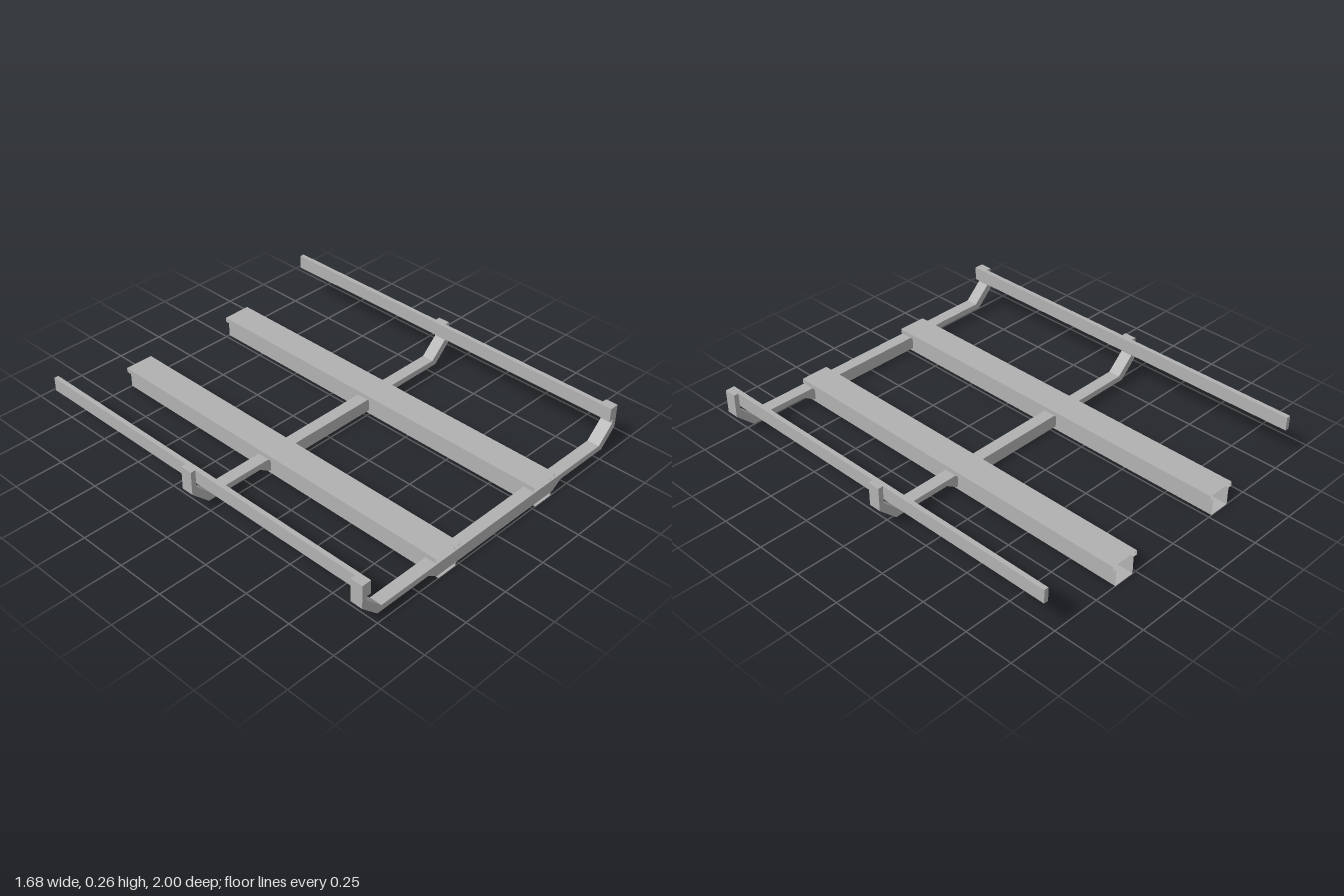
import * as THREE from 'three';

const steel = new THREE.MeshStandardMaterial({ color: 0xb2b2b2 });
steel.name = 'steelGrey';
const sheet = new THREE.MeshStandardMaterial({ color: 0xb2b2b2, side: THREE.DoubleSide });
sheet.name = 'steelGreySheet';

function add(parent, name, geometry, material = steel) {
  const mesh = new THREE.Mesh(geometry, material);
  mesh.name = name;
  parent.add(mesh);
  return mesh;
}

// Open-ended tube: walls only, swept along z from a closed outline
function openTube(outline, z0, z1) {
  const pos = [];
  outline.forEach(([ax, ay], i) => {
    const [bx, by] = outline[(i + 1) % outline.length];
    pos.push(ax, ay, z0, bx, by, z0, bx, by, z1);
    pos.push(ax, ay, z0, bx, by, z1, ax, ay, z1);
  });
  const g = new THREE.BufferGeometry();
  g.setAttribute('position', new THREE.Float32BufferAttribute(pos, 3));
  g.computeVertexNormals();
  return g;
}

// Cross member outline: deep belly, slim arms, cranked uprights
function crossShape() {
  const half = [
    [0.39, 0.018], [0.447, 0.055], [0.753, 0.055], [0.842, 0.14],
    [0.842, 0.26], [0.817, 0.26], [0.817, 0.168], [0.73, 0.085],
  ];
  const mirrored = half.map(([x, y]) => [-x, y]).reverse();
  return new THREE.Shape([...half, ...mirrored].map(([x, y]) => new THREE.Vector2(x, y)));
}

export function createModel() {
  const model = new THREE.Group();
  model.name = 'chassisFrame';

  // Long beams: hollow box with a wide top flange, clockwise from top left
  const beamOutline = [
    [-0.075, 0.115], [-0.075, 0.092], [-0.055, 0.092], [-0.055, 0],
    [0.055, 0], [0.055, 0.092], [0.075, 0.092], [0.075, 0.115],
  ].reverse();

  for (const [side, s] of [['left', 1], ['right', -1]]) {
    add(model, side + 'Beam', openTube(beamOutline, 1, -1), sheet).position.x = s * 0.325;
    // Side rails carried by the uprights
    add(model, side + 'Rail', new THREE.BoxGeometry(0.023, 0.07, 2)).position.set(s * 0.805, 0.225, 0);
  }

  // Cross members
  const depth = 0.063;
  for (const [name, z] of [['frontCrossMember', 1], ['middleCrossMember', -0.004]]) {
    const g = new THREE.ExtrudeGeometry(crossShape(), { depth, bevelEnabled: false });
    add(model, name, g).position.z = z - depth;
  }
  return model;
}
